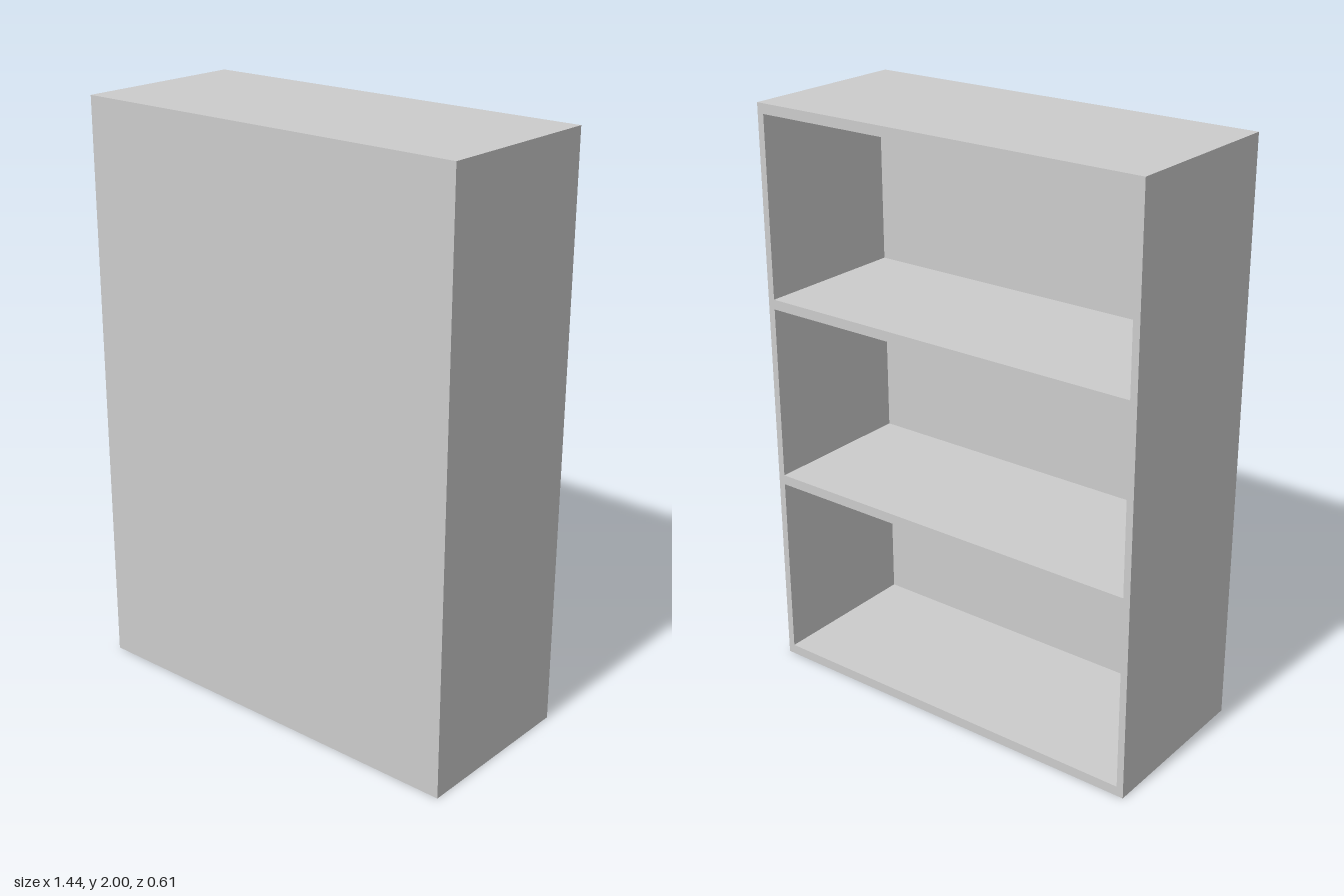
import * as THREE from 'three';

const W = 1.436, H = 2, D = 0.612; // overall size
const SIDE = 0.024, BOARD = 0.034, PANEL = 0.06; // thicknesses

export function createModel() {
  const bookcase = new THREE.Group();
  bookcase.name = 'bookcase';
  const material = new THREE.MeshStandardMaterial({ color: 0xcccccc });

  const board = (name, w, h, d, x, y, z) => {
    const mesh = new THREE.Mesh(new THREE.BoxGeometry(w, h, d), material);
    mesh.name = name;
    mesh.position.set(x, y, z);
    bookcase.add(mesh);
  };

  // Upright sides
  for (const s of [-1, 1]) {
    board(s > 0 ? 'leftSide' : 'rightSide', SIDE, H, D, s * (W - SIDE) / 2, H / 2, 0);
  }

  // Closed panel on the +z face; the case is open towards -z
  const innerW = W - 2 * SIDE;
  board('closedPanel', innerW, H, PANEL, 0, H / 2, (D - PANEL) / 2);

  // Bottom, two shelves and top
  const levels = { bottom: BOARD / 2, lowerShelf: 0.695, upperShelf: 1.334, top: H - BOARD / 2 };
  for (const [name, y] of Object.entries(levels)) {
    board(name, innerW, BOARD, D - PANEL, 0, y, -PANEL / 2);
  }

  return bookcase;
}
